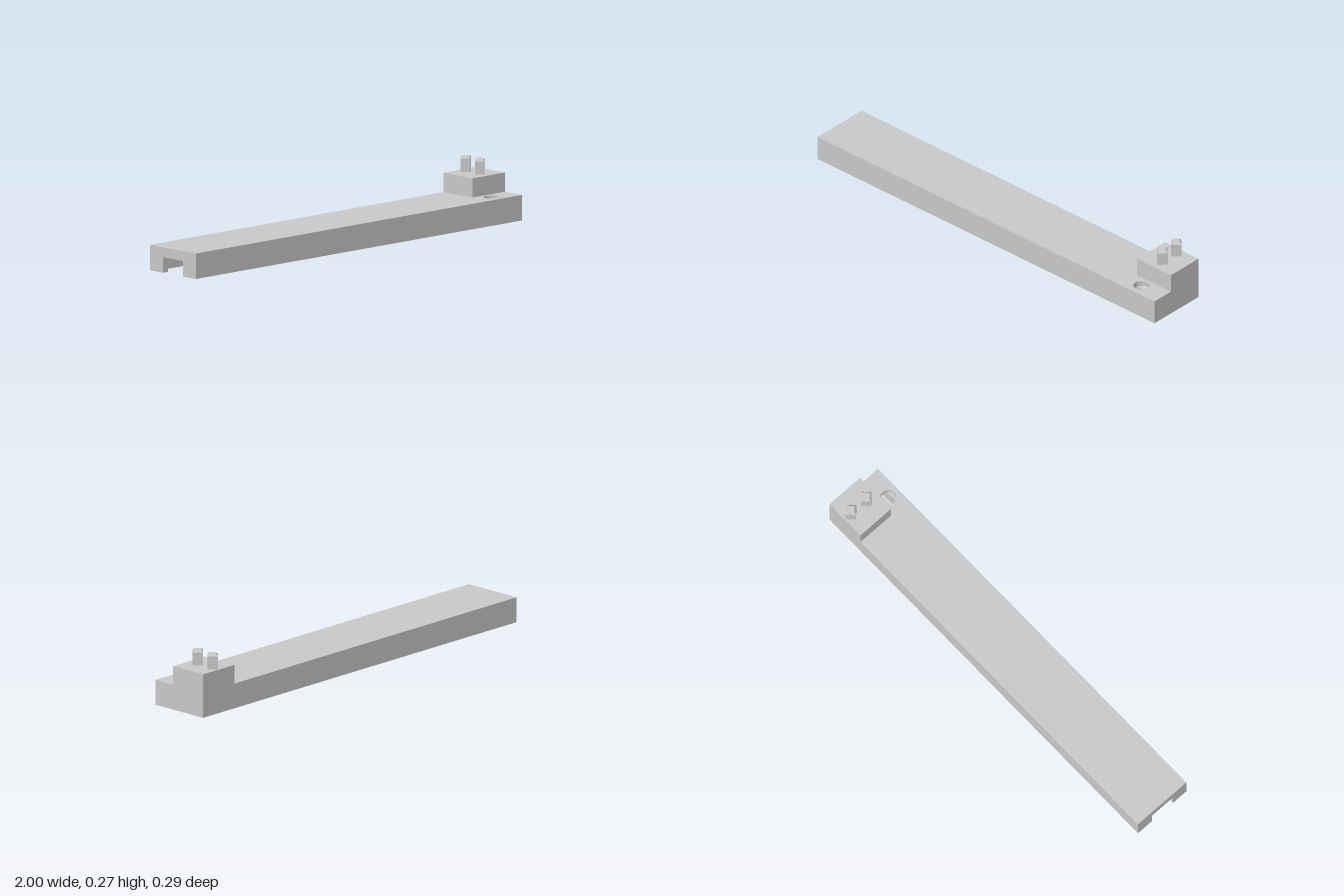
import * as THREE from 'three';

const HALF_WIDTH = 0.145;
const BODY_TOP = 0.114;
const CEILING = 0.09;

export function createModel() {
  const model = new THREE.Group();
  const grey = new THREE.MeshStandardMaterial({ color: 0xc8c8c8, flatShading: true });
  grey.name = 'plain grey';

  function add(name, geometry, x = 0, y = 0, z = 0) {
    const mesh = new THREE.Mesh(geometry, grey);
    mesh.name = name;
    mesh.position.set(x, y, z);
    model.add(mesh);
    return mesh;
  }

  // box given by its limits
  function addBox(name, [x0, x1], [y0, y1], [z0, z1]) {
    return add(name, new THREE.BoxGeometry(x1 - x0, y1 - y0, z1 - z0),
      (x0 + x1) / 2, (y0 + y1) / 2, (z0 + z1) / 2);
  }

  // floor plan in [x, z] pairs
  function plan(points) {
    return new THREE.Shape(points.map(([x, z]) => new THREE.Vector2(x, -z)));
  }

  // raise a floor plan from height y0 to y1
  function raise(name, shape, y0, y1) {
    const geometry = new THREE.ExtrudeGeometry(shape, {
      depth: y1 - y0, bevelEnabled: false, curveSegments: 24,
    });
    geometry.rotateX(-Math.PI / 2);
    return add(name, geometry, 0, y0, 0);
  }

  function rectangle(x0, x1, y0, y1, Type = THREE.Shape) {
    return new Type([[x0, y0], [x1, y0], [x1, y1], [x0, y1]]
      .map(([x, y]) => new THREE.Vector2(x, y)));
  }

  // top plate with a round hole near the block
  const top = rectangle(-1, 1, -HALF_WIDTH, HALF_WIDTH);
  const hole = new THREE.Path();
  hole.absarc(0.87, -0.087, 0.035, 0, Math.PI * 2, true);
  top.holes.push(hole);
  raise('topPlate', top, CEILING, BODY_TOP);

  // side walls around the hollow underside, with a narrower opening at the -x end
  raise('sideWalls', plan([
    [-1, -HALF_WIDTH], [1, -HALF_WIDTH], [1, HALF_WIDTH], [-1, HALF_WIDTH],
    [-1, 0.065], [-0.97, 0.065], [-0.97, 0.105], [0.97, 0.105], [0.97, 0.078],
    [0.95, 0.078], [0.95, -0.115], [-0.97, -0.115], [-0.97, -0.062], [-1, -0.062],
  ]), 0, CEILING);

  // lintel over the open end
  addBox('endLintel', [-1, -0.97], [0.07, CEILING], [-0.062, 0.065]);

  // thin rib between the wide channel and the narrow groove
  const rib = rectangle(-0.97, 0.95, 0, CEILING);
  rib.holes.push(rectangle(-0.84, -0.73, 0.015, 0.085, THREE.Path));
  rib.holes.push(rectangle(-0.65, -0.63, 0.02, 0.08, THREE.Path));
  add('channelRib', new THREE.ExtrudeGeometry(rib, { depth: 0.018, bevelEnabled: false }), 0, 0, 0.06);

  // raised block at the +x end
  addBox('raisedBlock', [0.8, 1], [BODY_TOP, 0.2], [-HALF_WIDTH, 0.037]);

  // square pegs turned on edge, with chamfered tops
  for (const z of [-0.109, -0.018]) {
    const profile = [[0, 0], [0.032, 0], [0.032, 0.06], [0.022, 0.069], [0, 0.069]];
    const peg = new THREE.LatheGeometry(profile.map(([r, y]) => new THREE.Vector2(r, y)), 4);
    add('peg', peg, 0.9, 0.2, z);
  }

  return model;
}
